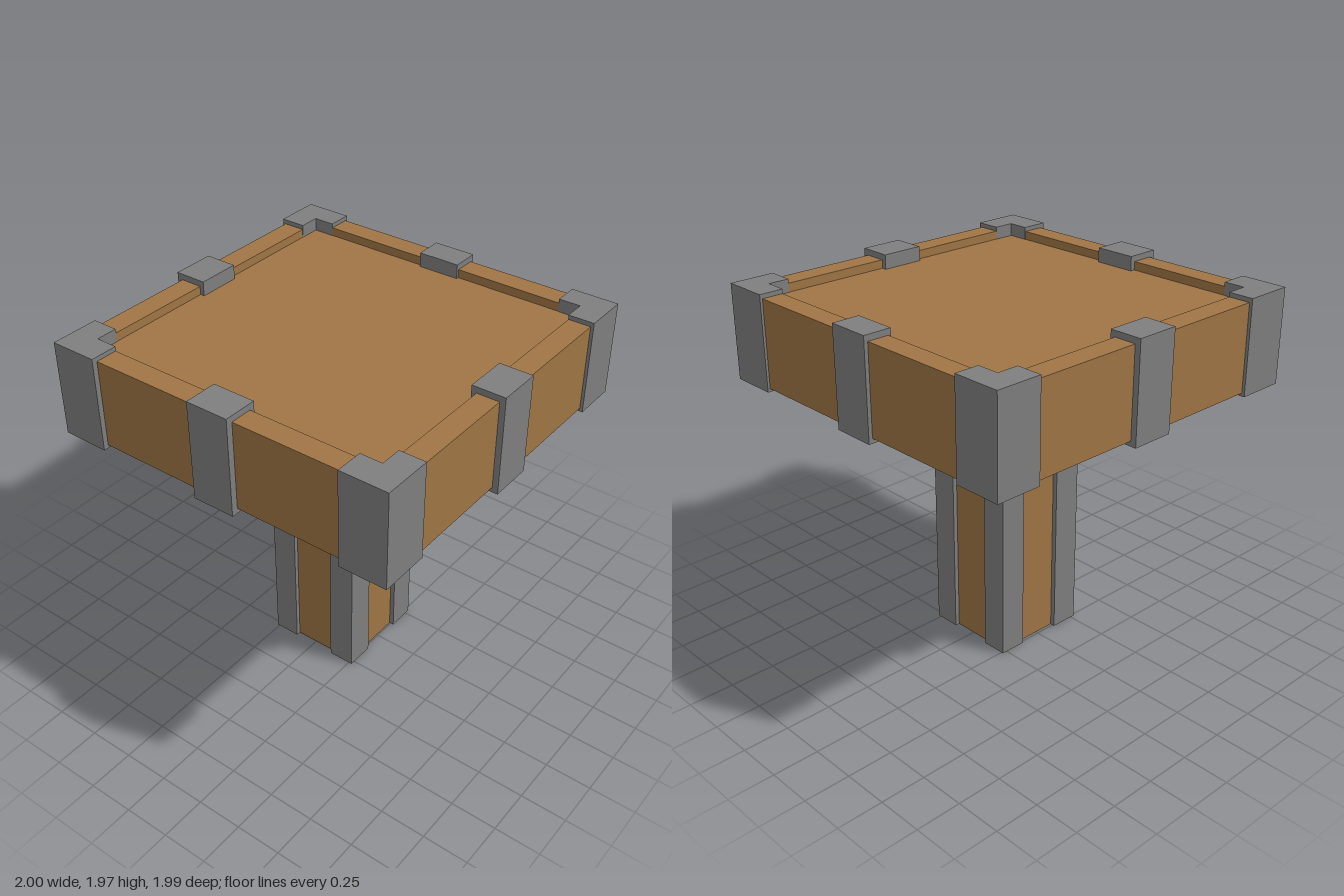
import * as THREE from 'three';

export function createModel() {
  const model = new THREE.Group();
  const wood = new THREE.MeshStandardMaterial({ color: 0xa07545, flatShading: true });
  const metal = new THREE.MeshStandardMaterial({ color: 0x7f7f7f, flatShading: true });

  const add = (name, geometry, material) => {
    const mesh = new THREE.Mesh(geometry, material);
    mesh.name = name;
    model.add(mesh);
  };

  // Box given by its limits on each axis
  const block = (name, material, [x0, x1], [y0, y1], [z0, z1]) => {
    const g = new THREE.BoxGeometry(x1 - x0, y1 - y0, z1 - z0);
    g.translate((x0 + x1) / 2, (y0 + y1) / 2, (z0 + z1) / 2);
    add(name, g, material);
  };

  // Plan outline (x, z) extruded between two heights
  const outline = (pts) => pts.map(([x, z]) => new THREE.Vector2(x, z));
  const prism = (name, material, pts, y0, y1, hole) => {
    const shape = new THREE.Shape(outline(pts));
    if (hole) shape.holes.push(new THREE.Path(outline(hole)));
    const g = new THREE.ExtrudeGeometry(shape, { depth: y1 - y0, bevelEnabled: false });
    g.rotateX(Math.PI / 2).translate(0, y1, 0);
    add(name, g, material);
  };
  const rect = (x0, x1, z0, z1) => [[x0, z0], [x1, z0], [x1, z1], [x0, z1]];

  // Table top: solid slab with a raised rim around a shallow recess
  const recessY = 1.885;
  block('tableSlab', wood, [-0.968, 0.968], [1.453, recessY], [-0.976, 0.96]);
  prism('tableRim', wood, rect(-0.968, 0.968, -0.976, 0.96), recessY, 1.932,
    rect(-0.845, 0.845, -0.857, 0.838));

  // L-shaped brackets on the four corners
  for (const sx of [-1, 1]) {
    for (const [outer, inner, end] of [[-0.99, -0.855, -0.738], [0.988, 0.836, 0.718]]) {
      const ox = sx * 0.985, ix = sx * 0.843, ex = sx * 0.724;
      prism('cornerBracket', metal,
        [[ox, outer], [ex, outer], [ex, inner], [ix, inner], [ix, end], [ox, end]], 1.436, 1.956);
    }
  }

  // Straight clamps at the middle of each side
  const clampY = [1.426, 1.965];
  block('frontClamp', metal, [-0.118, 0.119], clampY, [0.81, 0.995]);
  block('backClamp', metal, [-0.118, 0.119], clampY, [-0.997, -0.842]);
  block('leftClamp', metal, [0.817, 1], clampY, [-0.128, 0.112]);
  block('rightClamp', metal, [-1, -0.82], clampY, [-0.128, 0.112]);

  // Central leg with four corner posts, each on a thin wooden foot
  block('legCore', wood, [-0.235, 0.243], [0, 1.46], [-0.253, 0.25]);
  for (const x of [[-0.262, -0.12], [0.123, 0.269]]) {
    for (const z of [[-0.278, -0.127], [0.117, 0.275]]) {
      block('legPost', metal, x, [0.003, 1.46], z);
      block('postFoot', wood, x, [0, 0.003], z);
    }
  }
  return model;
}
